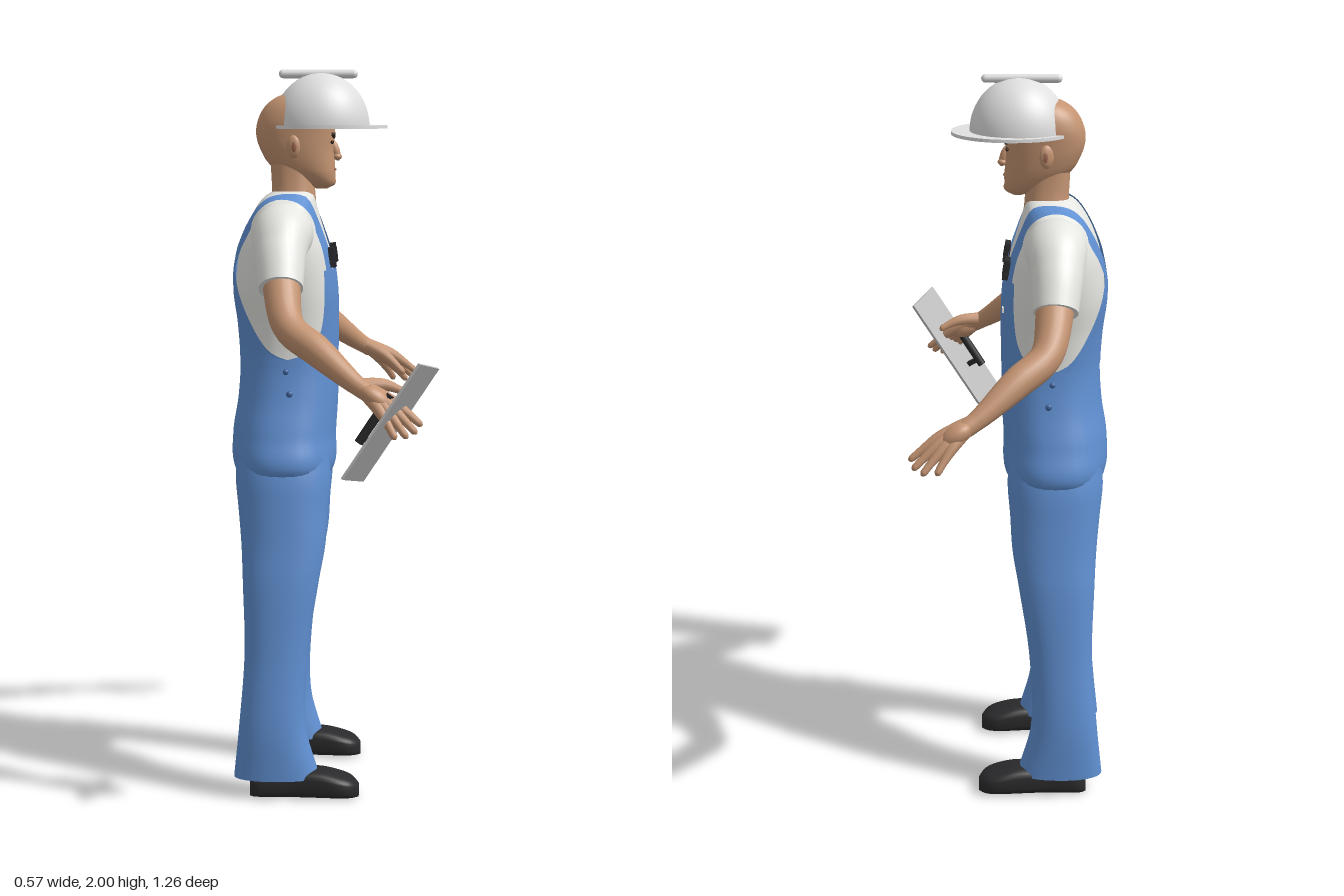
import * as THREE from 'three';

const mat = (name, color, side = THREE.FrontSide) => {
  const m = new THREE.MeshStandardMaterial({ color, side });
  m.name = name;
  return m;
};

// Hermite interpolation of table rows by their first column
function sample(tab, t) {
  let i = 0;
  while (i < tab.length - 2 && t > tab[i + 1][0]) i++;
  const a = tab[i], b = tab[i + 1], p = tab[i - 1] || a, q = tab[i + 2] || b;
  const h = b[0] - a[0], u = (t - a[0]) / h;
  return a.map((v, k) => {
    if (!k) return t;
    const m0 = (b[k] - p[k]) / (b[0] - p[0]) * h, m1 = (q[k] - v) / (q[0] - a[0]) * h;
    return v * (2 * u ** 3 - 3 * u * u + 1) + m0 * (u ** 3 - 2 * u * u + u) + b[k] * (3 * u * u - 2 * u ** 3) + m1 * (u ** 3 - u * u);
  });
}

// Surface through rings of points; closed rings get end caps
function skin(rings, closed = true) {
  const n = rings[0].length, pts = rings.flat(), idx = [];
  for (let i = 0; i < rings.length - 1; i++)
    for (let j = 0; j < (closed ? n : n - 1); j++) {
      const k = (j + 1) % n, a = i * n + j, b = i * n + k;
      idx.push(a, b, a + n, b, b + n, a + n);
    }
  if (closed) for (const [ring, flip] of [[rings[0], true], [rings.at(-1), false]]) {
    const s = pts.length, c = new THREE.Vector3();
    ring.forEach(p => c.addScaledVector(p, 1 / n));
    pts.push(...ring, c);
    for (let j = 0; j < n; j++) {
      const k = (j + 1) % n;
      idx.push(s + (flip ? k : j), s + (flip ? j : k), s + n);
    }
  }
  const g = new THREE.BufferGeometry().setFromPoints(pts);
  g.setIndex(idx);
  g.computeVertexNormals();
  return g;
}

const pw = (v, e) => Math.sign(v) * Math.abs(v) ** e;
const range = (n, a, b) => Array.from({ length: n + 1 }, (_, i) => a + (b - a) * i / n);
const turn = n => range(n, 0, Math.PI * 2).slice(0, n);

// Point on a level section [y, x0, x1, z0, z1]; angle 0 faces +x
function onSection([y, x0, x1, z0, z1], a, off = 0, e = 0.84) {
  return new THREE.Vector3((x0 + x1) / 2 + ((x1 - x0) / 2 + off) * pw(Math.cos(a), e), y,
    (z0 + z1) / 2 - ((z1 - z0) / 2 + off) * pw(Math.sin(a), e));
}
const column = (tab, y0, y1, steps, off = 0, e = 0.84) =>
  skin(range(steps, y0, y1).map(y => turn(40).map(a => onSection(sample(tab, y), a, off, e))));

// Round limb through [x, y, z, radius] points
function limb(pts, sides = 18, steps = 24) {
  const curve = new THREE.CatmullRomCurve3(pts.map(p => new THREE.Vector3(p[0], p[1], p[2])));
  const radii = pts.map((p, i) => [i, p[3]]), up = new THREE.Vector3(0.5, 1, 0.2);
  return skin(range(steps, 0, 1).map(t => {
    const c = curve.getPoint(t), T = curve.getTangent(t), r = sample(radii, t * (pts.length - 1))[1];
    const N = new THREE.Vector3().crossVectors(T, up).normalize(), B = new THREE.Vector3().crossVectors(T, N);
    return turn(sides).map(a => c.clone().addScaledVector(N, r * Math.cos(a)).addScaledVector(B, r * Math.sin(a)));
  }));
}

const sym = rows => rows.map(([y, x0, x1, rz]) => [y, x0, x1, -rz, rz]);
const BODY = sym([[0.84, -0.22, -0.06, 0.13], [0.9, -0.272, -0.008, 0.21], [1.0, -0.277, -0.003, 0.195], [1.1, -0.262, 0.003, 0.17],
  [1.2, -0.256, 0.003, 0.156], [1.3, -0.262, 0.004, 0.162], [1.4, -0.274, 0.002, 0.178], [1.5, -0.265, -0.012, 0.188],
  [1.56, -0.248, -0.03, 0.184], [1.61, -0.225, -0.045, 0.165], [1.64, -0.205, -0.052, 0.135], [1.66, -0.185, -0.056, 0.09], [1.668, -0.17, -0.06, 0.07]]);
const LEG = [[0.055, -0.275, -0.037, 0.143, 0.275], [0.2, -0.26, -0.075, 0.145, 0.278], [0.4, -0.245, -0.07, 0.132, 0.264],
  [0.6, -0.25, -0.04, 0.106, 0.25], [0.7, -0.255, -0.022, 0.066, 0.237], [0.8, -0.264, -0.015, 0.03, 0.226], [0.88, -0.272, -0.008, 0.003, 0.217], [0.95, -0.268, -0.012, 0.005, 0.2]];
const NECK = sym([[1.6, -0.19, -0.05, 0.085], [1.66, -0.175, -0.053, 0.07], [1.72, -0.176, -0.06, 0.064], [1.79, -0.18, -0.06, 0.064]]);
const HEAD = sym([[1.674, -0.05, -0.02, 0.015], [1.684, -0.08, -0.003, 0.036], [1.71, -0.135, 0.002, 0.058], [1.74, -0.18, 0.001, 0.07],
  [1.78, -0.205, -0.002, 0.078], [1.82, -0.217, 0, 0.082], [1.86, -0.213, 0, 0.084], [1.9, -0.192, -0.015, 0.075], [1.925, -0.16, -0.05, 0.055], [1.94, -0.12, -0.09, 0.02]]);
const SHOE = [[-0.23, 0.02, 0.04], [-0.215, 0.042, 0.06], [-0.12, 0.046, 0.075], [-0.04, 0.056, 0.078], [0.02, 0.061, 0.064], [0.055, 0.048, 0.05], [0.072, 0.02, 0.034]];
// Half widths of the front and back bib in degrees, by height
const BIB_FRONT = [[1.21, 92], [1.23, 72], [1.26, 58], [1.32, 48], [1.455, 41]];
const BIB_BACK = [[1.21, 92], [1.23, 76], [1.26, 64], [1.32, 48], [1.4, 32], [1.46, 19]];

export function createModel() {
  const skinTone = mat('skin', 0xc49472), denim = mat('blue denim', 0x6090d2, THREE.DoubleSide);
  const cotton = mat('white cotton', 0xe6e6e2), shell = mat('helmet shell', 0xe0e0e0, THREE.DoubleSide);
  const black = mat('black', 0x2a2a2c), steel = mat('grey steel', 0xbebebe);
  const hair = mat('dark brow', 0x33241c), lip = mat('lips', 0xa06a54), seam = mat('dark blue', 0x3f65a0);
  const model = new THREE.Group(), body = new THREE.Group();
  model.name = 'worker';
  body.name = 'body';
  body.position.z = -0.01;
  model.add(body);
  const add = (name, geo, m, pos, scale, parent = body) => {
    const mesh = new THREE.Mesh(geo, m);
    mesh.name = name;
    if (pos) mesh.position.set(...pos);
    if (scale) mesh.scale.set(...scale);
    parent.add(mesh);
    return mesh;
  };
  const ball = new THREE.SphereGeometry(1, 24, 16);
  const box = (x, y, z) => new THREE.BoxGeometry(x, y, z);

  // Shirt and overalls
  const cloth = [add('shirt', column(BODY, 1.15, 1.668, 40), cotton)];
  add('overalls', column(BODY, 0.84, 1.212, 24, 0.007), denim);
  for (const [name, tab, mid] of [['frontBib', BIB_FRONT, 0], ['backBib', BIB_BACK, Math.PI]])
    add(name, skin(range(24, 1.21, tab.at(-1)[0]).map(y => {
      const half = THREE.MathUtils.degToRad(sample(tab, y)[1]);
      return range(30, mid - half, mid + half).map(a => onSection(sample(BODY, y), a, 0.008));
    }), false), denim);
  add('bibLabel', box(0.006, 0.015, 0.016), cotton, [0.005, 1.37, -0.077]);

  // Head and face
  add('neck', column(NECK, 1.6, 1.79, 12), skinTone);
  add('head', column(HEAD, 1.674, 1.94, 36, 0, 0.88), skinTone);
  const nose = add('nose', ball, skinTone, [0.002, 1.779, 0], [0.012, 0.03, 0.011]);
  nose.rotation.z = 0.3;
  add('noseTip', ball, skinTone, [0.007, 1.762, 0], [0.013, 0.01, 0.015]);
  add('mouth', ball, lip, [-0.001, 1.727, 0], [0.006, 0.004, 0.024]);
  add('chin', ball, skinTone, [-0.014, 1.695, 0], [0.018, 0.016, 0.024]);

  for (const s of [1, -1]) {
    add('ear', ball, skinTone, [-0.112, 1.79, s * 0.08], [0.02, 0.032, 0.011]).rotation.y = s * -0.3;
    add('earHollow', ball, lip, [-0.108, 1.79, s * 0.087], [0.009, 0.018, 0.006]);
    add('eye', ball, hair, [-0.006, 1.802, s * 0.032], [0.005, 0.005, 0.013]);
    add('eyebrow', box(0.008, 0.007, 0.036), hair, [-0.003, 1.82, s * 0.035]).rotation.x = s * -0.25;

    // Sleeve and arm
    cloth.push(add('sleeve', limb([[-0.135, 1.54, 0.08 * s, 0.08], [-0.138, 1.555, 0.18 * s, 0.083], [-0.14, 1.505, 0.25 * s, 0.07], [-0.136, 1.42, 0.313 * s, 0.06]], 28), cotton));
    add('arm', limb([[-0.138, 1.5, 0.25 * s, 0.05], [-0.133, 1.42, 0.315 * s, 0.05], [-0.11, 1.325, 0.4 * s, 0.043],
      [-0.035, 1.27, 0.458 * s, 0.041], [0.06, 1.195, 0.522 * s, 0.027], [0.095, 1.172, 0.54 * s, 0.024]], 22, 36), skinTone);

    // Trouser leg and shoe
    const leg = LEG.map(([y, x0, x1, z0, z1]) => s > 0 ? [y, x0, x1, z0, z1] : [y, x0, x1, -z1, -z0]);
    add('trouserLeg', column(leg, 0.055, 0.95, 40, 0, 0.9), denim);
    add('shoe', skin(range(30, -0.23, 0.072).map(x => {
      const [, w, h] = sample(SHOE, x);
      return turn(28).map(a => new THREE.Vector3(x, h / 2 + h / 2 * pw(Math.cos(a), 0.6), s * 0.212 + w * pw(Math.sin(a), 0.6)));
    })), black);
    add('sideButton', ball, seam, [-0.12, 1.12, s * 0.175], [0.009, 0.009, 0.006]);
    add('sideButton', ball, seam, [-0.13, 1.18, s * 0.166], [0.008, 0.008, 0.006]);
  }

  // Straps laid over the shirt
  const ray = new THREE.Raycaster();
  const STRAP = [[0, 0.103], [50, 0.113], [90, 0.128], [130, 0.118], [160, 0.085], [195, 0.035]];
  for (const s of [1, -1]) {
    const rows = range(44, 0, 195).map(deg => [-0.021, 0, 0.021].map(w => {
      const z = s * sample(STRAP, deg)[1] + w, p = THREE.MathUtils.degToRad(deg);
      const out = new THREE.Vector3(Math.cos(p), Math.sin(p), 0), core = new THREE.Vector3(-0.13, 1.45, z);
      ray.set(core.clone().add(out), out.clone().negate());
      const hit = ray.intersectObjects(cloth, false)[0];
      return (hit ? hit.point : core.addScaledVector(out, 0.14)).clone().addScaledVector(out, 0.01);
    }));
    add('strap', skin(rows, false), denim);
    const buckle = new THREE.Group();
    buckle.name = 'buckle';
    buckle.position.set(-0.004, 1.49, s * 0.105);
    buckle.rotation.z = 0.15;
    add('buckleTop', box(0.016, 0.018, 0.056), black, [0, 0.018, 0], null, buckle);
    add('buckleMiddle', box(0.018, 0.03, 0.032), black, [0, 0, 0], null, buckle);
    add('buckleClip', box(0.016, 0.016, 0.048), black, [0, -0.018, 0], null, buckle);
    body.add(buckle);
  }

  // Hands: fingers and thumb fan out from the wrist
  const hand = (name, wrist, tips, palm) => {
    const g = new THREE.Group();
    g.name = name;
    tips.forEach(([x, y, z], i) => {
      const at = (t, lift, r) => [wrist[0] + (x - wrist[0]) * t, wrist[1] + (y - wrist[1]) * t + lift, wrist[2] + (z - wrist[2]) * t, r];
      const thumb = i === 4;
      add(thumb ? 'thumb' : 'finger', limb([at(0, 0, 0.02), at(0.5, 0.012, thumb ? 0.016 : 0.017), at(0.8, 0.006, 0.011), at(0.96, 0, 0.009), at(1, 0, 0.003)], 10, 16), skinTone, null, null, g);
    });
    add('palm', ball, skinTone, palm, [0.046, 0.026, 0.03], g).rotation.z = -0.6;
    body.add(g);
  };
  hand('openHand', [0.075, 1.188, -0.528], [[0.17, 1.07, -0.612], [0.208, 1.068, -0.607], [0.232, 1.078, -0.59], [0.242, 1.095, -0.565], [0.2, 1.1, -0.492]], [0.122, 1.158, -0.555]);
  hand('grippingHand', [0.075, 1.188, 0.528], [[0.17, 1.06, 0.61], [0.2, 1.062, 0.602], [0.224, 1.072, 0.588], [0.238, 1.09, 0.565], [0.2, 1.165, 0.492]], [0.118, 1.158, 0.55]);

  // Plastering float held in the hand
  const float = new THREE.Group();
  float.name = 'plasteringFloat';
  const n = new THREE.Vector3(0.76, -0.52, 0.39).normalize(), v = new THREE.Vector3(0.548, 0.836, 0.045);
  v.addScaledVector(n, -v.dot(n)).normalize();
  float.quaternion.setFromRotationMatrix(new THREE.Matrix4().makeBasis(new THREE.Vector3().crossVectors(v, n), v, n));
  float.position.set(0.156, 1.095, 0.565);
  add('blade', box(0.147, 0.357, 0.007), steel, null, null, float);
  add('handle', new THREE.CylinderGeometry(0.012, 0.012, 0.15, 16), black, [0, -0.015, -0.042], null, float);
  for (const y of [-0.07, 0.04]) add('handlePost', box(0.014, 0.014, 0.04), black, [0, y, -0.022], null, float);
  body.add(float);

  // Helmet
  const helmet = new THREE.Group();
  helmet.name = 'helmet';
  add('dome', new THREE.SphereGeometry(1, 48, 20, 0, Math.PI * 2, 0, Math.PI / 2), shell, [-0.037, 1.845, 0], [0.133, 0.146, 0.124], helmet);
  const ring = new THREE.Shape().absellipse(-0.018, 0, 0.164, 0.148, 0, Math.PI * 2);
  ring.holes.push(new THREE.Path().absellipse(-0.037, 0, 0.131, 0.122, 0, Math.PI * 2));
  const brim = new THREE.ExtrudeGeometry(ring, { depth: 0.009, bevelEnabled: false, curveSegments: 40 });
  add('brim', brim.rotateX(-Math.PI / 2), shell, [0, 1.839, 0], null, helmet);
  const ridge = new THREE.CapsuleGeometry(0.012, 0.194, 6, 16).rotateZ(Math.PI / 2);
  add('ridge', ridge, shell, [-0.045, 1.988, 0], null, helmet);
  body.add(helmet);
  return model;
}
